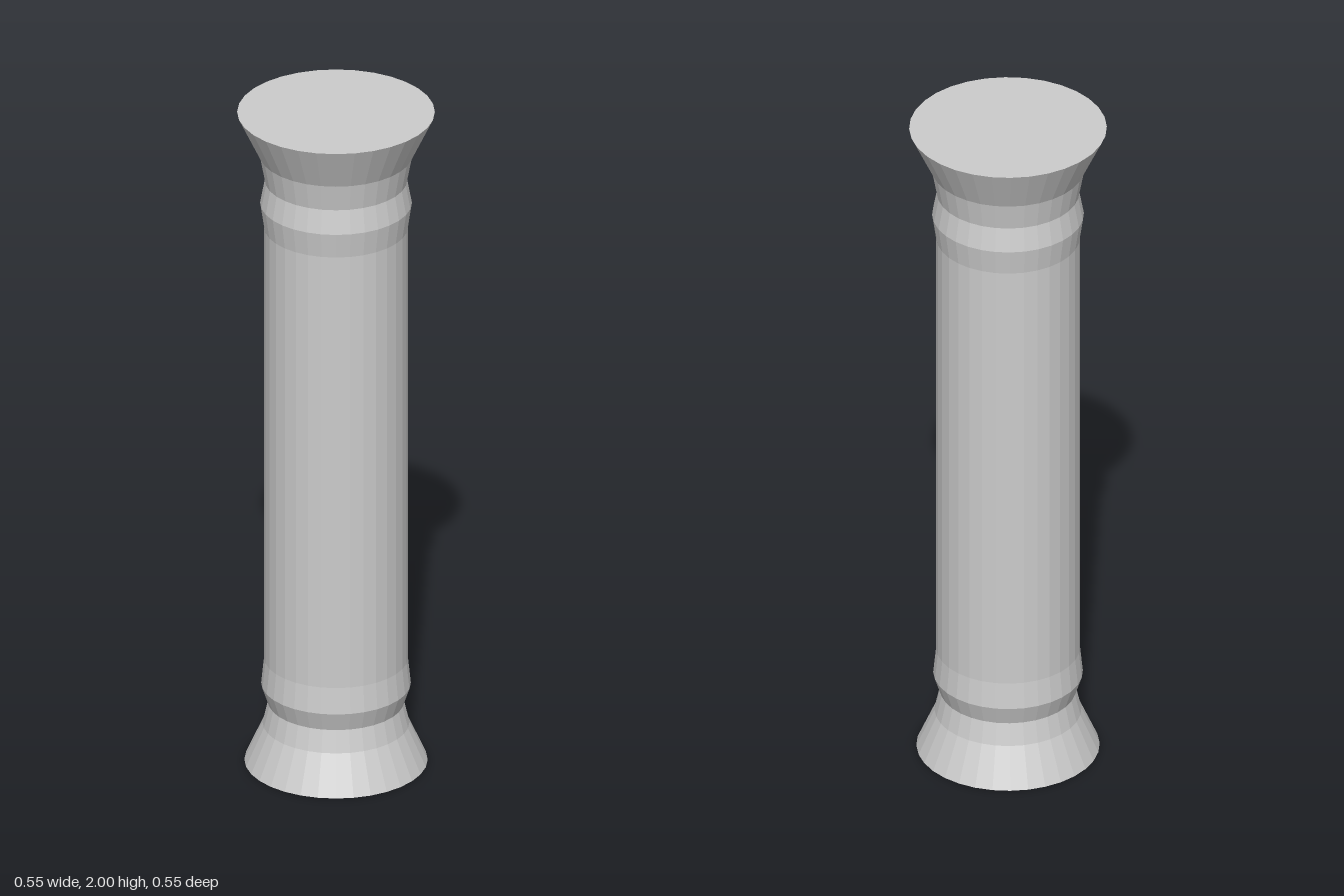
import * as THREE from 'three';

const SIDES = 32;

export function createModel() {
  const column = new THREE.Group();
  column.name = 'column';
  const material = new THREE.MeshStandardMaterial({ color: 0xcccccc, flatShading: true });

  // Turned section from [radius, height] pairs, listed bottom to top
  const addTurned = (name, profile) => {
    const points = profile.map(([r, y]) => new THREE.Vector2(r, y));
    const mesh = new THREE.Mesh(new THREE.LatheGeometry(points, SIDES), material);
    mesh.name = name;
    column.add(mesh);
  };

  // Flat disc closing one end
  const addCap = (name, radius, y, tilt) => {
    const mesh = new THREE.Mesh(new THREE.CircleGeometry(radius, SIDES), material);
    mesh.name = name;
    mesh.rotation.x = tilt;
    mesh.position.y = y;
    column.add(mesh);
  };

  // Flared foot, then the lower ring
  addTurned('base', [[0.256, 0], [0.205, 0.115], [0.19, 0.18]]);
  addTurned('lowerRing', [[0.19, 0.18], [0.209, 0.237], [0.201, 0.315]]);

  // Straight shaft
  addTurned('shaft', [[0.201, 0.315], [0.201, 1.645]]);

  // Upper ring, then the flared capital
  addTurned('upperRing', [[0.201, 1.645], [0.212, 1.72], [0.199, 1.79]]);
  addTurned('capital', [[0.199, 1.79], [0.214, 1.87], [0.276, 2]]);

  addCap('bottomCap', 0.256, 0, Math.PI / 2);
  addCap('topCap', 0.276, 2, -Math.PI / 2);

  return column;
}
